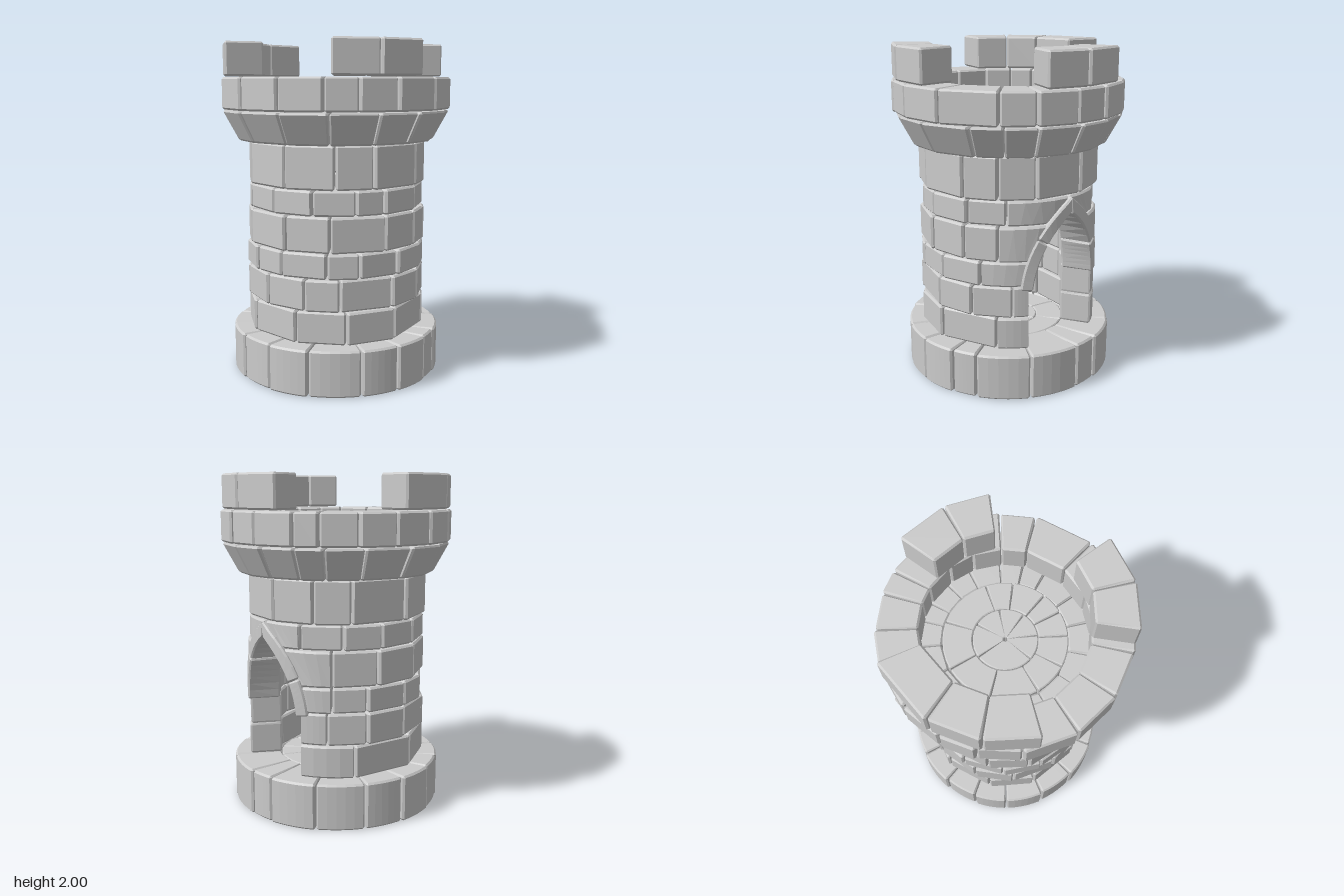
import * as THREE from 'three';

const material = new THREE.MeshStandardMaterial({ color: 0xcccccc, flatShading: true });
const RAD = Math.PI / 180;
const clamp = THREE.MathUtils.clamp, lerp = THREE.MathUtils.lerp;

// One chamfered stone: a bevelled (r, v) section lofted along u, placed by map(u, v, r).
function stone(name, map, [u0, u1], [v0, v1], [r0, r1], b, bu, n = 1) {
  const section = [
    [r0 + b, v0], [r1 - b, v0], [r1, v0 + b], [r1, v1 - b],
    [r1 - b, v1], [r0 + b, v1], [r0, v1 - b], [r0, v0 + b],
  ];
  const inset = section.map(([r, v]) => [clamp(r, r0 + b, r1 - b), clamp(v, v0 + b, v1 - b)]);
  const rings = [[u0, inset]];
  for (let i = 0; i <= n; i++) rings.push([lerp(u0 + bu, u1 - bu, i / n), section]);
  rings.push([u1, inset]);
  const pts = rings.map(([u, s]) => s.map(([r, v]) => map(u, v, r)));

  const tris = [];
  for (let i = 0; i < pts.length - 1; i++) {
    for (let j = 0; j < 8; j++) {
      const k = (j + 1) % 8;
      const A = pts[i][j], B = pts[i][k], C = pts[i + 1][k], D = pts[i + 1][j];
      tris.push([A, B, C], [A, C, D]);
    }
  }
  const first = pts[0], last = pts[pts.length - 1];
  for (let j = 1; j < 7; j++) {
    tris.push([first[0], first[j + 1], first[j]], [last[0], last[j], last[j + 1]]);
  }
  // Turn the faces outward whichever way the map is handed
  const mid = pts.flat().reduce((m, p) => m.add(p), new THREE.Vector3()).divideScalar(pts.length * 8);
  let volume = 0;
  for (const t of tris) {
    const [a, c, d] = t.map((p) => p.clone().sub(mid));
    volume += a.dot(c.cross(d));
  }
  const flat = [];
  for (const [a, c, d] of tris) for (const p of volume > 0 ? [a, c, d] : [a, d, c]) flat.push(p.x, p.y, p.z);
  const geometry = new THREE.BufferGeometry();
  geometry.setAttribute('position', new THREE.Float32BufferAttribute(flat, 3));
  geometry.computeVertexNormals();
  const mesh = new THREE.Mesh(geometry, material);
  mesh.name = name;
  return mesh;
}

const polar = (a, y, r) => new THREE.Vector3(r * Math.cos(a), y, r * Math.sin(a));

// A run of stones between successive seam angles (degrees, from +x toward +z).
// Optional: closed ring, arc segments, bottom radius for a flare, door edge by height.
function course(name, seams, ys, rs, { closed = true, n = 1, bottom, door, b = 0.011, jitter = 0.005 } = {}) {
  const group = new THREE.Group();
  group.name = name;
  const list = seams.map((s) => s * RAD);
  if (closed) list.push(list[0] + Math.PI * 2);
  if (door) { list.unshift(0); list.push(Math.PI * 2); }
  const gap = 0.004 / rs[1];
  for (let i = 0; i < list.length - 1; i++) {
    const atStart = door && i === 0, atEnd = door && i === list.length - 2;
    const r1 = rs[1] + jitter * Math.sin(i * 2.4 + ys[0] * 9);
    const map = (u, y, r) => {
      const a0 = atStart ? door(y) : list[i];
      const a1 = atEnd ? Math.PI * 2 - door(y) : list[i + 1];
      const flare = bottom ? lerp(bottom / rs[1], 1, (y - ys[0]) / (ys[1] - ys[0])) : 1;
      const radius = bottom ? rs[0] + (r - rs[0]) * (r1 * flare - rs[0]) / (r1 - rs[0]) : r;
      return polar(lerp(a0 + gap, a1 - gap, u), y, radius);
    };
    const width = Math.max(list[i + 1] - list[i] - 2 * gap, 0.05);
    const bu = Math.min(0.2, b / rs[1] / width);
    group.add(stone(name + 'Stone', map, [0, 1], ys, [rs[0], r1], b, bu, atStart || atEnd ? 4 : n));
  }
  return group;
}

// Pointed arch centre line in (arc length at radius ARCH_R, height)
const ARCH_R = 0.55;
const archLine = new THREE.QuadraticBezierCurve(
  new THREE.Vector2(0.52 * ARCH_R, 0.64), new THREE.Vector2(0.46 * ARCH_R, 0.95), new THREE.Vector2(0, 1.115));

// Half angle of the doorway at height y
function doorEdge(y) {
  if (y < 0.655) return 0.485;
  const t = (0.62 - Math.sqrt(0.3844 - 0.58 * (Math.min(y, 1.115) - 0.64))) / 0.29;
  return Math.max(0, archLine.getPoint(t).x / ARCH_R);
}

function doorArch() {
  const group = new THREE.Group();
  group.name = 'doorArch';
  for (const side of [1, -1]) {
    const map = (t, v, r) => {
      const p = archLine.getPoint(t);
      const d = archLine.getPoint(t + 0.01).sub(archLine.getPoint(t - 0.01)).normalize();
      const s = Math.max(0.002, p.x + d.y * v);
      return polar(side * s / ARCH_R, p.y - d.x * v, r);
    };
    const split = side > 0 ? 0.52 : 0.36;
    for (const span of [[0, split - 0.004], [split + 0.004, 1.06]]) {
      group.add(stone('archStone', map, span, [-0.037, 0.037], [0.36, 0.557], 0.009, 0.015, 6));
    }
  }
  return group;
}

// Paving of two rings of wedges inside a round wall, turned by some degrees
function floor(name, ys, turn) {
  const group = new THREE.Group();
  group.name = name;
  const turned = (seams) => seams.map((s) => s + turn);
  group.add(
    course(name + 'Ring', turned([12, 38, 70, 92, 117, 148, 180, 224, 270, 318]), ys, [0.183, 0.347], { n: 5, b: 0.006, jitter: 0 }),
    course(name + 'Centre', turned([20, 65, 113, 160, 265, 330]), ys, [0.012, 0.18], { n: 8, b: 0.005, jitter: 0 }));
  return group;
}

export function createModel() {
  const tower = new THREE.Group();
  tower.name = 'stoneTower';

  // Plinth
  tower.add(course('plinth', [1, 29, 58, 72, 93, 114, 142, 165, 187, 210, 230, 250, 272, 294, 320, 346],
    [0, 0.275], [0.35, 0.637], { n: 5 }));
  tower.add(floor('lowerFloor', [0.005, 0.27], 10));

  // Wall courses broken by the doorway
  const walls = [
    [0.275, 0.47, 0.543, [48, 88, 121, 153, 190, 222, 255, 298]],
    [0.47, 0.66, 0.543, [38, 64, 90, 125, 147, 175, 205, 232, 262, 290, 315]],
    [0.66, 0.81, 0.543, [58, 86, 113, 133, 163, 186, 212, 240, 262, 290, 312]],
    [0.81, 1.02, 0.543, [47, 69, 96, 131, 160, 195, 222, 252, 283, 312]],
    [1.02, 1.168, 0.533, [42, 67, 96, 115, 142, 170, 200, 225, 252, 280, 305, 332]],
  ];
  for (const [y0, y1, r, seams] of walls) {
    tower.add(course('wall', seams, [y0 + 0.002, y1 - 0.002], [0.35, r], { closed: false, door: doorEdge }));
  }
  tower.add(doorArch());

  // Full course above the door
  tower.add(course('upperWall', [24, 47, 69, 104, 128, 160, 195, 225, 262, 300, 323, 351],
    [1.17, 1.42], [0.35, 0.543]));

  // Flared corbel, parapet and the floor inside it
  tower.add(course('corbel', [5, 27, 43, 59, 85, 107, 131, 155, 180, 205, 228, 250, 272, 296, 315, 329, 347],
    [1.422, 1.602], [0.35, 0.687], { bottom: 0.59 }));
  tower.add(floor('upperFloor', [1.45, 1.62], 0));
  tower.add(course('parapet', [8, 28, 45, 74, 98, 117, 133, 155, 178, 203, 223, 240, 260, 281, 299, 317, 329, 350],
    [1.607, 1.795], [0.46, 0.69]));

  // Three merlons
  for (const seams of [[83, 107, 130], [195, 220, 244, 277], [-23, 2, 24]]) {
    tower.add(course('merlon', seams, [1.8, 2], [0.455, 0.69], { closed: false }));
  }
  return tower;
}
